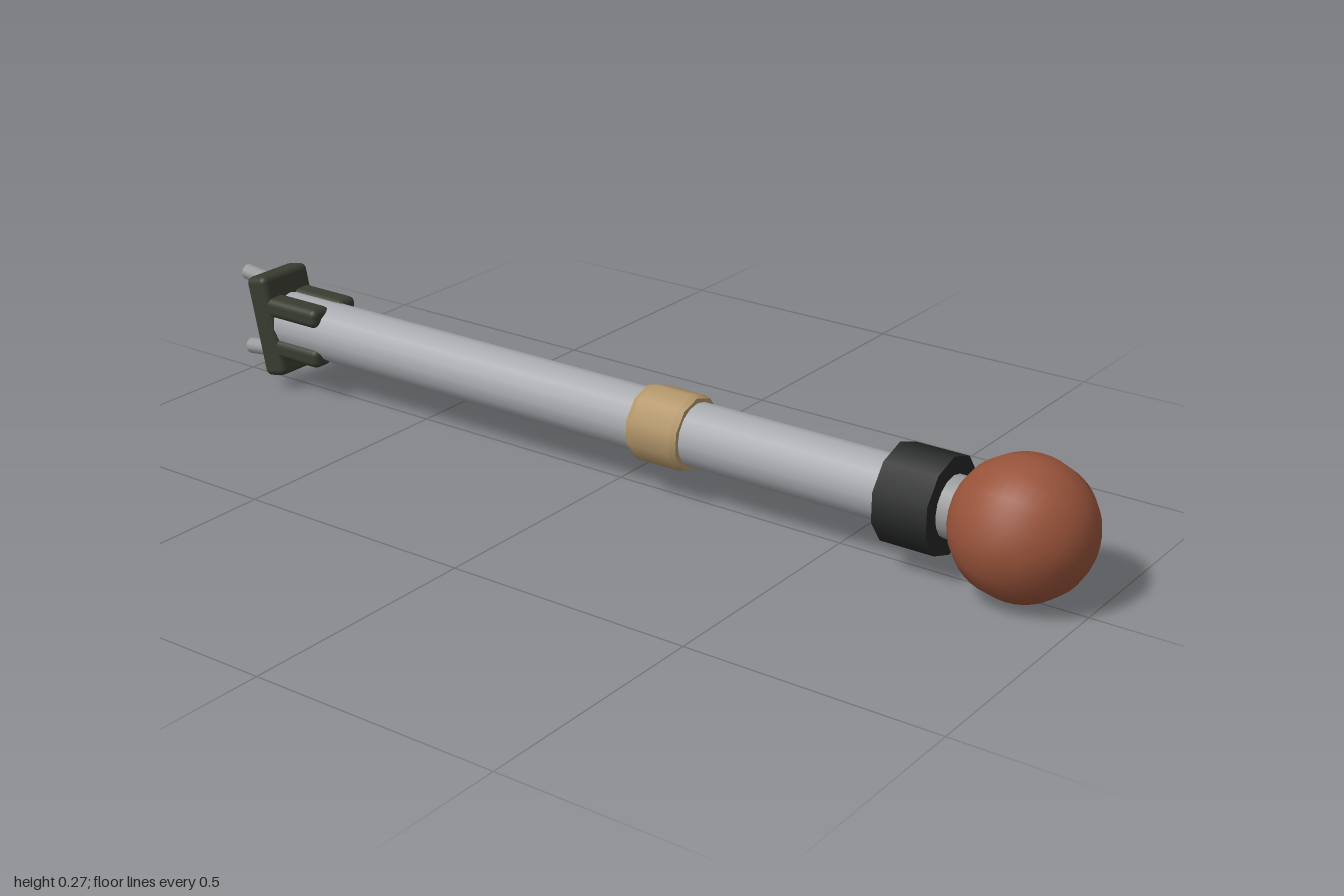
import * as THREE from 'three';
import { RoundedBoxGeometry } from 'three/addons/geometries/RoundedBoxGeometry.js';

const AXIS_Y = 0.137;

export function createModel() {
  const model = new THREE.Group();
  const material = (name, color) => {
    const m = new THREE.MeshStandardMaterial({ color });
    m.name = name;
    return m;
  };
  const tubeGrey = material('tubeGrey', 0xa9abb0);
  const pinGrey = material('pinGrey', 0x999a9c);
  const tan = material('tan', 0xb3966a);
  const black = material('black', 0x252626);
  const darkOlive = material('darkOlive', 0x383c30);
  const rust = material('rust', 0x98533a);

  const add = (name, geometry, mat, x, y, z = 0) => {
    const mesh = new THREE.Mesh(geometry, mat);
    mesh.name = name;
    mesh.position.set(x, y, z);
    model.add(mesh);
    return mesh;
  };

  // Solid turned around the x axis; profile is [x, radius] pairs
  const turned = (name, profile, sides, mat) => {
    // Doubled points keep the profile edges sharp
    const points = profile.flatMap(([x, r], i) =>
      (i === 0 || i === profile.length - 1 ? [[x, r]] : [[x, r], [x, r]])
        .map(([px, pr]) => new THREE.Vector2(pr, px)));
    const geometry = new THREE.LatheGeometry(points, sides, Math.PI / 2);
    geometry.rotateZ(-Math.PI / 2);
    return add(name, geometry, mat, 0, AXIS_Y);
  };

  // Shaft with its middle band, collar and neck
  turned('shaft', [[-0.88, 0], [-0.88, 0.063], [0.64, 0.063], [0.64, 0]], 16, tubeGrey);
  turned('middleBand', [[0.064, 0.05], [0.064, 0.073], [0.076, 0.077],
    [0.167, 0.077], [0.179, 0.073], [0.179, 0.05]], 10, tan);
  turned('collar', [[0.615, 0], [0.615, 0.095], [0.725, 0.095], [0.725, 0]], 10, black);
  turned('neck', [[0.72, 0], [0.72, 0.059], [0.79, 0.059], [0.79, 0]], 16, pinGrey);

  // Ball at the tip
  const ball = new THREE.SphereGeometry(0.133, 16, 24);
  ball.rotateZ(-Math.PI / 2);
  add('ball', ball, rust, 0.866, 0.134);

  // Four claws gripping the end of the shaft
  for (const sy of [-1, 1]) {
    for (const sz of [-1, 1]) {
      add('claw', new RoundedBoxGeometry(0.15, 0.042, 0.052, 3, 0.015), darkOlive,
        -0.818, AXIS_Y + sy * 0.044, sz * 0.039);
    }
  }

  // Tilted end plate
  const plate = add('endPlate', new RoundedBoxGeometry(0.056, 0.217, 0.135, 3, 0.014),
    darkOlive, -0.89, AXIS_Y);
  plate.rotation.z = THREE.MathUtils.degToRad(12);

  // Two slightly splayed prongs
  const prong = (name, x, y, length, tilt) => {
    const geometry = new THREE.CylinderGeometry(0.017, 0.017, length, 12);
    geometry.rotateZ(Math.PI / 2);
    add(name, geometry, pinGrey, x, y).rotation.z = tilt;
  };
  prong('upperProng', -0.952, 0.217, 0.094, -0.12);
  prong('lowerProng', -0.966, 0.056, 0.067, 0.1);

  return model;
}
